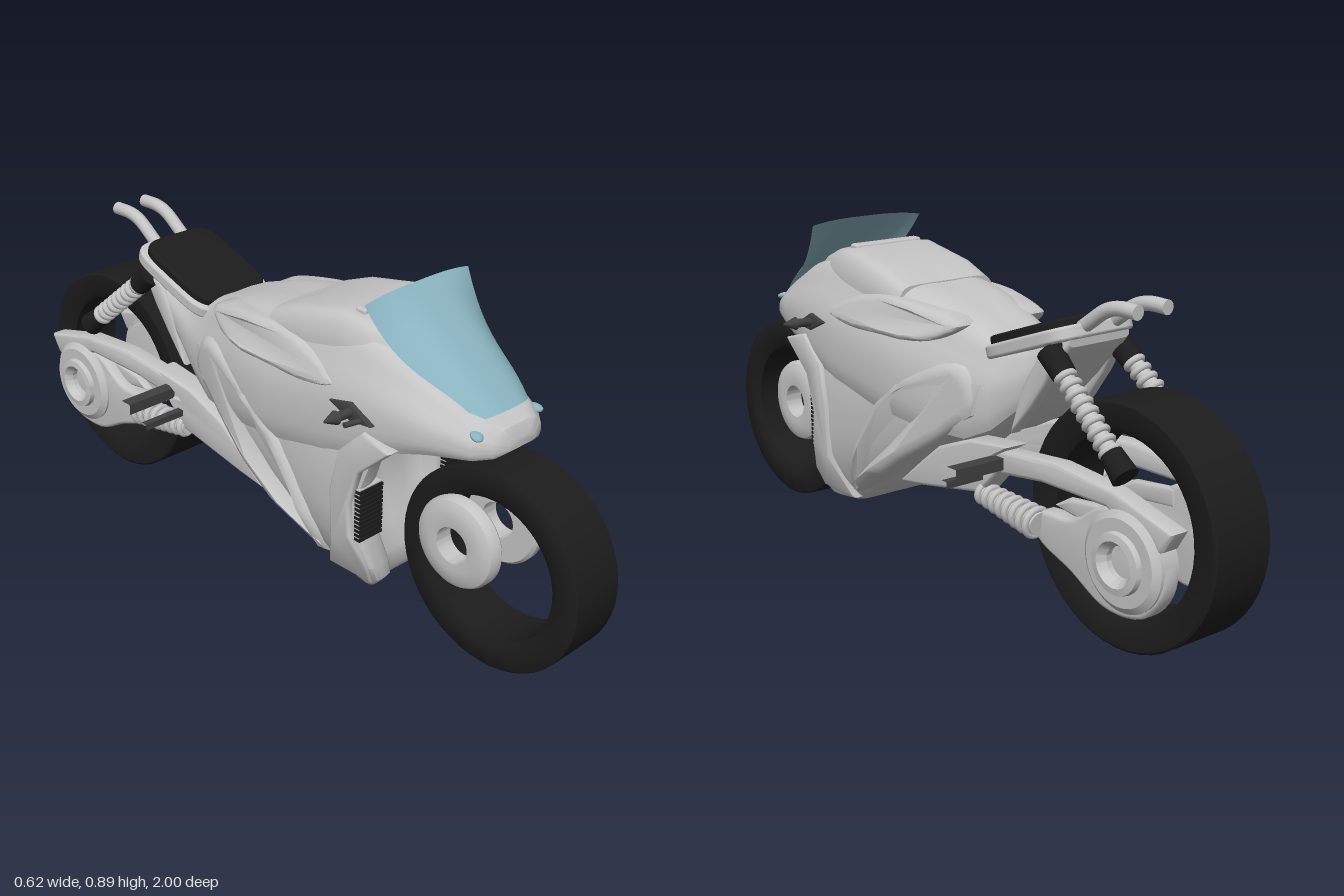
import * as THREE from 'three';
import { toCreasedNormals } from 'three/addons/utils/BufferGeometryUtils.js';
import { RoundedBoxGeometry } from 'three/addons/geometries/RoundedBoxGeometry.js';

const mat = (name, color) => Object.assign(new THREE.MeshStandardMaterial({ color }), { name });
const V = (x, y, z) => new THREE.Vector3(x, y, z);

export function createModel() {
  const body = mat('bodyGrey', 0xc4c4c4);
  const rubber = mat('tyreBlack', 0x1c1c1c);
  const dark = mat('darkMetal', 0x404040);
  const glass = mat('screenBlue', 0x8ab4c0);
  glass.side = THREE.DoubleSide;

  const model = new THREE.Group();
  model.name = 'motorcycle';
  const bike = new THREE.Group();
  bike.name = 'bike';
  bike.position.x = 0.007;
  const pegs = new THREE.Group();
  pegs.name = 'footControls';
  model.add(bike, pegs);

  const add = (name, geo, material, parent = bike) => {
    const mesh = new THREE.Mesh(geo, material);
    mesh.name = name;
    parent.add(mesh);
  };

  // Mirror a geometry across x and restore its winding
  const mirrored = (geo) => {
    const g = geo.index ? geo.toNonIndexed() : geo.clone();
    g.scale(-1, 1, 1);
    for (const key of ['position', 'normal']) {
      const a = g.attributes[key];
      for (let i = 0; i < a.count; i += 3) {
        const p = [a.getX(i + 1), a.getY(i + 1), a.getZ(i + 1)];
        a.setXYZ(i + 1, a.getX(i + 2), a.getY(i + 2), a.getZ(i + 2));
        a.setXYZ(i + 2, ...p);
      }
    }
    return g;
  };
  const pair = (name, geo, material, parent) => {
    add(name + 'Left', geo, material, parent);
    add(name + 'Right', mirrored(geo), material, parent);
  };

  // Skin closed rings of points, capping both ends
  const skin = (rings, crease = 0.6) => {
    const n = rings[0].length, pos = [], idx = [];
    rings.forEach((r) => r.forEach((p) => pos.push(p.x, p.y, p.z)));
    for (let i = 0; i < rings.length - 1; i++)
      for (let j = 0; j < n; j++) {
        const a = i * n + j, b = i * n + (j + 1) % n;
        idx.push(a, a + n, b, b, a + n, b + n);
      }
    [0, rings.length - 1].forEach((r) => {
      const c = rings[r].reduce((s, p) => s.add(p), V(0, 0, 0)).divideScalar(n);
      const k = pos.length / 3;
      pos.push(c.x, c.y, c.z);
      for (let j = 0; j < n; j++) {
        const a = r * n + j, b = r * n + (j + 1) % n;
        r === 0 ? idx.push(k, a, b) : idx.push(k, b, a);
      }
    });
    const g = new THREE.BufferGeometry();
    g.setAttribute('position', new THREE.Float32BufferAttribute(pos, 3));
    g.setIndex(idx);
    return toCreasedNormals(g, crease);
  };
  // Complete a half profile (width factor, height factor) into a ring
  const fullProfile = (half) => {
    const h = new THREE.SplineCurve(half.map((p) => new THREE.Vector2(...p))).getPoints(22);
    return [...h, ...h.slice(1, -1).reverse().map((p) => new THREE.Vector2(-p.x, p.y))];
  };
  const loftZ = (half, stations) => skin(stations.map(([z, lo, hi, w]) =>
    fullProfile(half).map((p) => V(p.x * w, lo + p.y * (hi - lo), z))));
  const loftY = (half, stations) => skin(stations.map(([y, zf, zb, w]) =>
    fullProfile(half).map((p) => V(p.x * w, y, zb + p.y * (zf - zb)))));

  // Bevelled side plate outlined in (z, y), between two x positions
  const plate = (outline, x0, x1, smooth = false, bevel = 0.01) => {
    let pts = outline.map(([z, y]) => V(-z, y, 0));
    if (smooth) pts = new THREE.CatmullRomCurve3(pts, true).getPoints(48).slice(0, -1);
    const shape = new THREE.Shape(pts.map((p) => new THREE.Vector2(p.x, p.y)));
    const g = new THREE.ExtrudeGeometry(shape, {
      depth: x1 - x0 - 2 * bevel, bevelThickness: bevel, bevelSize: bevel, bevelOffset: -bevel, bevelSegments: 3,
    });
    return toCreasedNormals(g.translate(0, 0, x0 + bevel).rotateY(Math.PI / 2), 0.6);
  };
  // Closed (radius, x) profile turned round the x axis
  const wheelPart = (profile, x, y, z) => {
    const pts = [...profile, profile[0]].map((p) => new THREE.Vector2(...p));
    return toCreasedNormals(new THREE.LatheGeometry(pts, 48), 0.6).rotateZ(-Math.PI / 2).translate(x, y, z);
  };
  const rod = (a, b, ra, rb = ra) => {
    const d = b.clone().sub(a);
    const q = new THREE.Quaternion().setFromUnitVectors(V(0, 1, 0), d.clone().normalize());
    return new THREE.CylinderGeometry(rb, ra, d.length(), 20).applyQuaternion(q).translate(...a.clone().lerp(b, 0.5).toArray());
  };
  const spring = (name, a, b, r0, r1, turns) => {
    pair(name + 'Core', rod(a, b, r0 * 0.7, r1 * 0.7), body);
    const q = new THREE.Quaternion().setFromUnitVectors(V(0, 0, 1), b.clone().sub(a).normalize());
    for (let i = 0; i < turns; i++) {
      const t = (i + 0.5) / turns, r = r0 + (r1 - r0) * t;
      pair(name + 'Coil', new THREE.TorusGeometry(r - 0.008, 0.009, 8, 20).applyQuaternion(q).translate(...a.clone().lerp(b, t).toArray()), body);
    }
  };

  // Tyres
  const tyre = (ri, ro, h) => [[ri, -h * 0.85], [ri + 0.02, -h], [ro - 0.006, -h], [ro, -h * 0.95],
    [ro, h * 0.95], [ro - 0.006, h], [ri + 0.02, h], [ri, h * 0.85]];
  add('frontTyre', wheelPart(tyre(0.188, 0.267, 0.08), 0, 0.27, 0.733), rubber);
  add('rearTyre', wheelPart(tyre(0.225, 0.302, 0.09), 0, 0.304, -0.698), rubber);

  // Hubs with open centres
  pair('frontHub', wheelPart([[0.048, 0.06], [0.112, 0.06], [0.12, 0.07], [0.12, 0.09], [0.114, 0.102], [0.098, 0.11],
    [0.07, 0.114], [0.048, 0.112]], 0, 0.315, 0.65), body);
  pair('rearHub', wheelPart([[0.04, 0.1], [0.122, 0.1], [0.122, 0.155], [0.105, 0.168], [0.075, 0.168], [0.072, 0.182],
    [0.055, 0.185], [0.04, 0.165]], 0, 0.262, -0.78), body);

  // Upper fairing, tank and tail
  add('upperFairing', loftZ([[0, 0], [0.8, 0], [0.96, 0.1], [1, 0.3], [0.97, 0.55], [0.83, 0.77], [0.7, 0.93], [0.45, 1], [0, 1]], [
    [0.75, 0.585, 0.61, 0.05], [0.735, 0.573, 0.638, 0.09], [0.7, 0.565, 0.655, 0.125], [0.6, 0.555, 0.705, 0.17],
    [0.5, 0.525, 0.76, 0.193], [0.4, 0.48, 0.795, 0.206], [0.3, 0.45, 0.795, 0.21], [0.1, 0.42, 0.763, 0.21],
    [0, 0.41, 0.748, 0.203], [-0.07, 0.4, 0.735, 0.187], [-0.2, 0.4, 0.692, 0.158], [-0.28, 0.44, 0.655, 0.135],
    [-0.36, 0.51, 0.66, 0.115], [-0.45, 0.6, 0.695, 0.107], [-0.53, 0.7, 0.735, 0.097]]), body);
  add('tankCover', loftZ([[0, 0], [0.95, 0], [1, 0.3], [0.97, 0.65], [0.85, 0.93], [0.6, 1], [0, 1]], [
    [0.46, 0.7, 0.785, 0.125], [0.38, 0.68, 0.815, 0.155], [0.3, 0.68, 0.826, 0.165], [0.14, 0.68, 0.793, 0.167],
    [0.055, 0.68, 0.76, 0.16]]), body);
  add('dashLip', new RoundedBoxGeometry(0.22, 0.02, 0.035, 3, 0.008).translate(0, 0.822, 0.328), body);

  // Lower fairing
  add('lowerFairing', loftY([[0, 0], [0.7, 0], [0.87, 0.15], [0.96, 0.5], [1, 0.8], [0.99, 0.95], [0.9, 1], [0.6, 0.97], [0.45, 0.87], [0, 0.87]], [
    [0.102, 0.42, 0.3, 0.14], [0.13, 0.445, 0.24, 0.155], [0.18, 0.45, 0.19, 0.18], [0.25, 0.425, 0.11, 0.196],
    [0.32, 0.415, 0, 0.202], [0.4, 0.42, -0.13, 0.202], [0.48, 0.45, -0.25, 0.198], [0.56, 0.5, -0.27, 0.18]]), body);

  // Flank panels, pulled in towards the belly, the tank top and the tail
  const hug = (g) => {
    const p = g.attributes.position;
    for (let i = 0; i < p.count; i++)
      p.setX(i, p.getX(i) - Math.max(0, 0.25 - p.getY(i)) * 0.42 - Math.max(0, p.getY(i) - 0.65) * 0.4
        - Math.max(0, -p.getZ(i)) * 0.22);
    return toCreasedNormals(g, 0.8);
  };
  pair('frontBlade', hug(plate([[0.53, 0.55], [0.44, 0.575], [0.36, 0.5], [0.33, 0.38], [0.33, 0.24], [0.28, 0.12],
    [0.43, 0.12], [0.44, 0.18], [0.405, 0.27], [0.4, 0.36], [0.43, 0.46]], 0.17, 0.212)), body);
  pair('rearBlade', hug(plate([[0.28, 0.14], [0.12, 0.23], [0, 0.31], [-0.15, 0.41], [-0.25, 0.5], [-0.2, 0.6], [0.02, 0.53],
    [0.19, 0.36]], 0.11, 0.208, true, 0.03)), body);
  pair('tankPad', hug(plate([[0.33, 0.66], [0.22, 0.715], [0.08, 0.735], [-0.17, 0.695], [-0.1, 0.65], [0.1, 0.635], [0.25, 0.635]],
    0.12, 0.207, true, 0.015)), body);

  // Radiator grilles
  pair('grilleFrame', new THREE.BoxGeometry(0.078, 0.15, 0.03).translate(0.158, 0.33, 0.409), body);
  for (let i = 0; i < 12; i++)
    pair('grilleSlat', new THREE.BoxGeometry(0.08, 0.008, 0.02).translate(0.158, 0.263 + i * 0.0122, 0.419), rubber);

  // Windscreen sheet, with its sides folded down
  const screen = new THREE.PlaneGeometry(2, 1, 20, 12);
  const sp = screen.attributes.position;
  for (let i = 0; i < sp.count; i++) {
    const u = sp.getX(i), v = sp.getY(i) + 0.5, e = Math.pow(Math.abs(u), 3);
    sp.setXYZ(i, u * (0.092 + 0.09 * v) + 0.008,
      0.664 + 0.25 * v - 0.022 * v * v - e * (0.012 + 0.3 * v * v * (1 - v)), 0.708 - 0.303 * v - e * 0.025 * (1 - v));
  }
  screen.computeVertexNormals();
  add('windscreen', screen, glass);

  // Headlights and side vents
  pair('headlight', new THREE.SphereGeometry(1, 14, 10).scale(0.016, 0.009, 0.022).rotateY(0.6).rotateX(0.25).translate(0.105, 0.63, 0.7), glass);
  pair('sideVent', plate([[0.47, 0.6], [0.4, 0.64], [0.33, 0.625], [0.4, 0.593]], 0.19, 0.213, false, 0.003), dark);

  // Handlebar grips and levers
  pair('grip', rod(V(0.18, 0.615, 0.4), V(0.265, 0.618, 0.4), 0.012), dark);
  pair('gripTip', rod(V(0.258, 0.618, 0.4), V(0.296, 0.62, 0.4), 0.018, 0.003), dark);
  pair('lever', rod(V(0.18, 0.605, 0.44), V(0.255, 0.606, 0.425), 0.007), dark);

  // Seat and its tray: soft-cornered slabs tilted up to the rear
  const slab = (w, l, h, y, z) => {
    const pts = [];
    const soft = (c) => Math.sign(c) * Math.abs(c) ** 0.4;
    for (let i = 0; i < 48; i++) {
      const a = (i / 48) * Math.PI * 2;
      pts.push(new THREE.Vector2(soft(Math.cos(a)) * w / 2, soft(Math.sin(a)) * l / 2));
    }
    const g = new THREE.ExtrudeGeometry(new THREE.Shape(pts), {
      depth: h - 0.016, bevelThickness: 0.008, bevelSize: 0.008, bevelOffset: -0.008, bevelSegments: 3,
    });
    return toCreasedNormals(g.translate(0, 0, 0.008 - h / 2), 0.6).rotateX(-Math.PI / 2 + 0.34).translate(0, y, z);
  };
  add('seatTray', slab(0.265, 0.33, 0.035, 0.686, -0.385), body);
  add('seat', slab(0.238, 0.295, 0.036, 0.704, -0.375), rubber);
  pair('tailStrut', plate([[-0.34, 0.45], [-0.41, 0.53], [-0.46, 0.6], [-0.51, 0.69], [-0.44, 0.67], [-0.38, 0.58]], 0.075, 0.115), body);

  // Grab rails
  const rail = new THREE.CatmullRomCurve3([V(0.048, 0.69, -0.45), V(0.048, 0.755, -0.54), V(0.048, 0.795, -0.6), V(0.048, 0.806, -0.64), V(0.048, 0.806, -0.7)]);
  pair('grabRail', new THREE.TubeGeometry(rail, 24, 0.018, 14), body);
  pair('grabRailEnd', new THREE.CircleGeometry(0.018, 14).rotateY(Math.PI).translate(0.048, 0.806, -0.7), body);

  // Rear shocks
  const top = V(0.108, 0.685, -0.475), low = V(0.128, 0.45, -0.755);
  const at = (t) => top.clone().lerp(low, t);
  spring('shock', at(0.18), at(0.84), 0.029, 0.029, 9);
  pair('shockTopCap', rod(at(0), at(0.2), 0.034, 0.03), rubber);
  pair('shockLowCap', rod(at(0.82), at(1), 0.028, 0.034), rubber);

  // Swing arm, pivot bracket and hub carrier
  pair('pivotBracket', plate([[0.045, 0.24], [-0.05, 0.25], [-0.29, 0.295], [-0.36, 0.37], [-0.3, 0.38], [-0.4, 0.44],
    [-0.25, 0.425], [-0.12, 0.375], [-0.05, 0.32]], 0.1, 0.17), body);
  pair('swingArm', plate([[-0.1, 0.33], [-0.2, 0.38], [-0.31, 0.415], [-0.55, 0.435], [-0.74, 0.42], [-0.93, 0.37], [-0.9, 0.32],
    [-0.86, 0.3], [-0.72, 0.375], [-0.5, 0.375], [-0.3, 0.35]], 0.1, 0.155), body);
  pair('innerStay', plate([[-0.51, 0.315], [-0.56, 0.345], [-0.7, 0.36], [-0.7, 0.31], [-0.6, 0.3]], 0.095, 0.12), body);
  pair('hubCarrier', plate([[-0.48, 0.295], [-0.6, 0.31], [-0.7, 0.37], [-0.82, 0.37], [-0.89, 0.31], [-0.9, 0.22], [-0.84, 0.14],
    [-0.72, 0.125], [-0.6, 0.18], [-0.48, 0.235]], 0.098, 0.15, true), body);
  spring('linkSpring', V(0.155, 0.295, -0.28), V(0.155, 0.27, -0.5), 0.03, 0.043, 8);

  // Foot pegs: open-ended square sleeves
  const sleeve = (x0, x1, h, d, y, z) => toCreasedNormals(new THREE.CylinderGeometry(Math.SQRT1_2, Math.SQRT1_2, 1, 4, 1, true)
    .rotateY(Math.PI / 4).rotateZ(-Math.PI / 2).scale(x1 - x0, h, d), 0.5).translate((x0 + x1) / 2, y, z);
  pair('footPeg', sleeve(0.155, 0.31, 0.03, 0.036, 0.387, -0.348), dark, pegs);
  pair('footLever', sleeve(0.15, 0.292, 0.018, 0.02, 0.343, -0.295), dark, pegs);

  return model;
}
